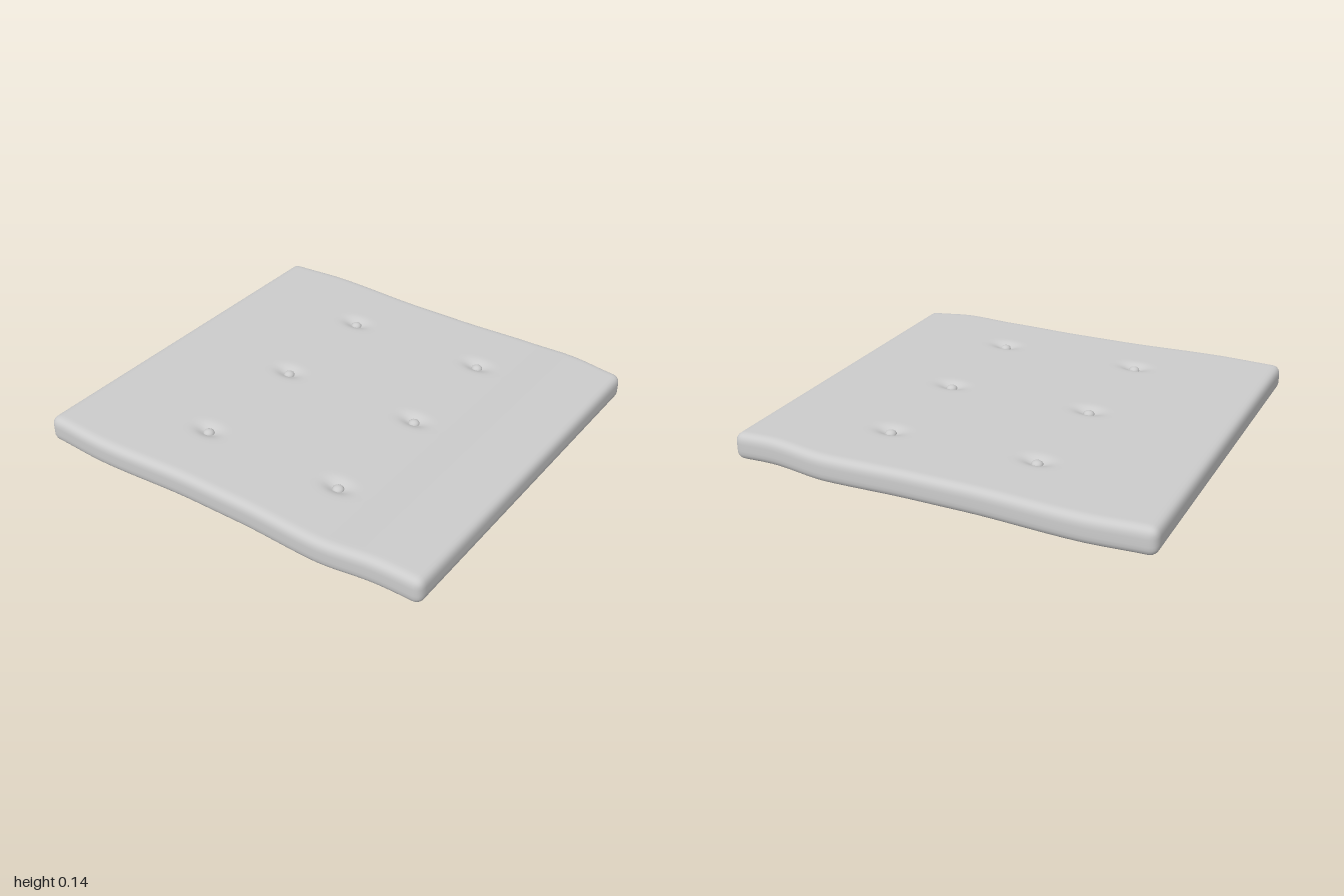
import * as THREE from 'three';
import { mergeVertices } from 'three/addons/utils/BufferGeometryUtils.js';

const HALF = new THREE.Vector3(0.94, 0.064, 1);
const RADIUS = 0.04;
const BUTTON_X = [-0.6, 0, 0.575];
const BUTTON_Z = [-0.335, 0.385];

// [z, value] keys along the length, blended smoothly
const LEFT_EDGE = [[-1, 0.935], [-0.68, 0.955], [-0.15, 0.932], [0.1, 0.932], [0.5, 0.945], [1, 0.91]];
const RIGHT_EDGE = [[-1, 0.948], [-0.68, 0.962], [-0.15, 0.938], [0.1, 0.938], [0.5, 0.953], [1, 0.92]];
const LIFT = [[-1, 0], [0.5, 0], [0.76, 0.013], [1, 0]];

function blend(keys, z) {
  for (let i = 1; i < keys.length; i++) {
    const [z0, v0] = keys[i - 1], [z1, v1] = keys[i];
    if (z <= z1) return THREE.MathUtils.lerp(v0, v1, THREE.MathUtils.smoothstep(z, z0, z1));
  }
  return keys[keys.length - 1][1];
}

// Depth of the tufting, stretched along z around each button
function dimple(x, z) {
  let d = 0;
  for (const bx of BUTTON_X) {
    for (const bz of BUTTON_Z) {
      d += 0.026 * Math.exp(-(((x - bx) / 0.036) ** 2) - ((z - bz) / 0.06) ** 2);
    }
  }
  return d;
}

function cushionGeometry() {
  let geo = new THREE.BoxGeometry(HALF.x * 2, HALF.y * 2, HALF.z * 2, 120, 8, 128);
  geo.deleteAttribute('uv');
  geo.deleteAttribute('normal');
  geo = mergeVertices(geo, 1e-5);
  const pos = geo.attributes.position;
  const inner = HALF.clone().subScalar(RADIUS);
  const innerMin = inner.clone().negate();
  const p = new THREE.Vector3(), core = new THREE.Vector3();
  for (let i = 0; i < pos.count; i++) {
    // round every edge and corner
    p.fromBufferAttribute(pos, i);
    core.copy(p).clamp(innerMin, inner);
    p.sub(core).setLength(RADIUS).add(core);
    // wavy sides, tufted top, raised front
    p.x *= blend(p.x > 0 ? LEFT_EDGE : RIGHT_EDGE, p.z) / HALF.x;
    if (p.y > 0) p.y -= dimple(p.x, p.z);
    p.y += HALF.y + blend(LIFT, p.z);
    pos.setXYZ(i, p.x, p.y, p.z);
  }
  geo.computeVertexNormals();
  return geo;
}

export function createModel() {
  const group = new THREE.Group();
  group.name = 'tuftedCushion';
  const material = new THREE.MeshStandardMaterial({ color: 0xcccccc });

  const cushion = new THREE.Mesh(cushionGeometry(), material);
  cushion.name = 'cushion';
  group.add(cushion);

  // Small round buttons sunk into the dimples
  const buttonGeo = new THREE.SphereGeometry(0.027, 20, 14);
  buttonGeo.scale(1, 0.75, 1);
  for (const x of BUTTON_X) {
    for (const z of BUTTON_Z) {
      const button = new THREE.Mesh(buttonGeo, material);
      button.name = 'button';
      button.position.set(x, 0.106, z);
      group.add(button);
    }
  }
  return group;
}
